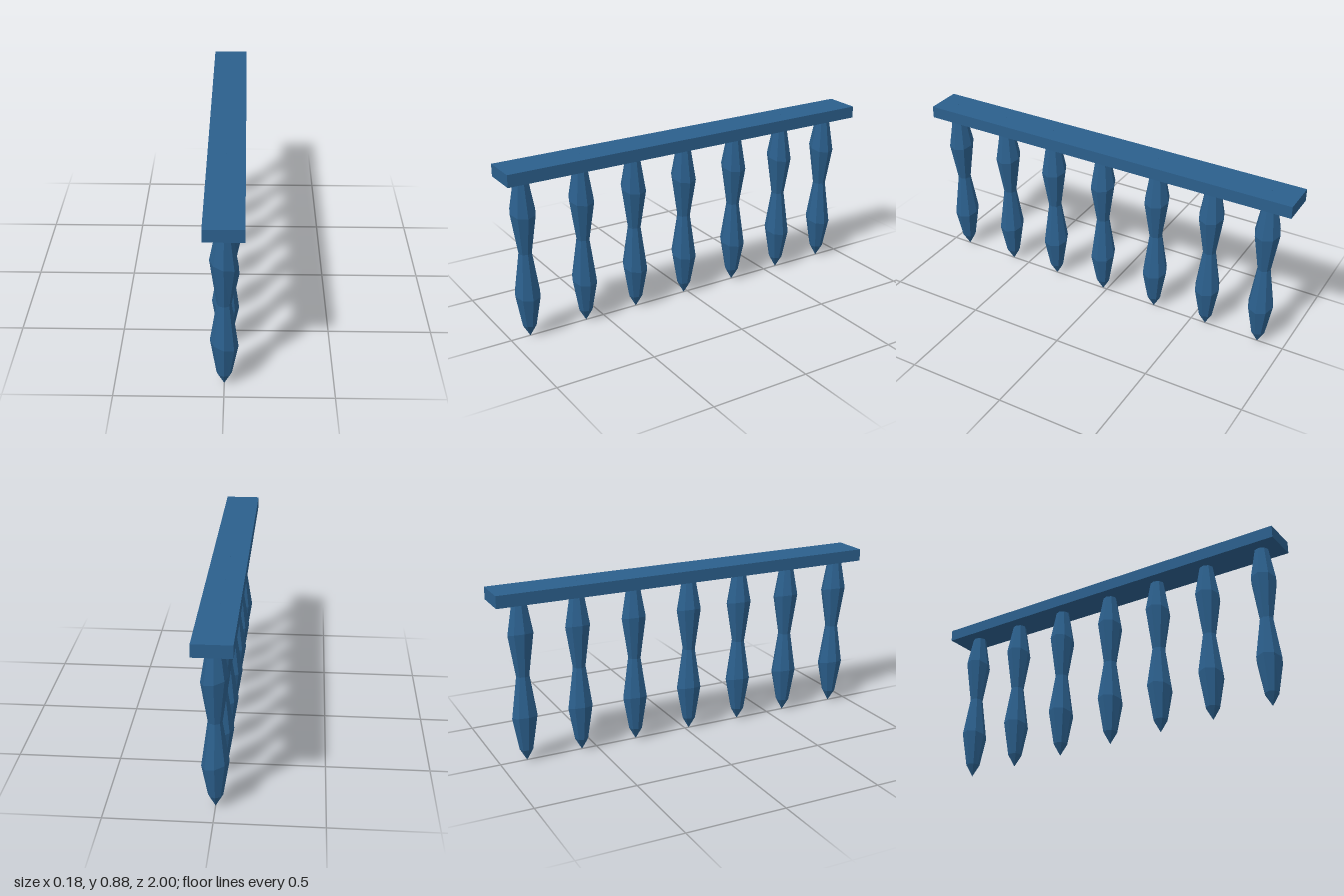
import * as THREE from 'three';

const material = new THREE.MeshStandardMaterial({ color: 0x2b5f8c, flatShading: true });

// Faceted double-bulb baluster, pointed at both ends
function balusterGeometry() {
  const profile = [
    [0, 0.003], [0.035, 0.065], [0.064, 0.23], [0.033, 0.443],
    [0.064, 0.65], [0.034, 0.82], [0, 0.879],
  ].map(([r, y]) => new THREE.Vector2(r, y));
  const geometry = new THREE.LatheGeometry(profile, 8);
  const p = geometry.attributes.position;
  for (let i = 0; i < p.count; i++) {
    const x = p.getX(i), y = p.getY(i), z = p.getZ(i);
    // Slightly tilted, hand-cut bulge rings
    if (Math.hypot(x, z) > 0.05) p.setY(i, y - 0.27 * x);
  }
  geometry.computeVertexNormals();
  return geometry;
}

export function createModel() {
  const model = new THREE.Group();
  model.name = 'balustrade';

  // Handrail
  const rail = new THREE.Mesh(new THREE.BoxGeometry(0.18, 0.061, 2), material);
  rail.name = 'handrail';
  rail.position.y = 0.8455;
  model.add(rail);

  // Row of balusters, slightly unevenly spaced
  const geometry = balusterGeometry();
  [0.9, 0.597, 0.312, 0.022, -0.283, -0.578, -0.865].forEach((z, i) => {
    const baluster = new THREE.Mesh(geometry, material);
    baluster.name = `baluster${i + 1}`;
    baluster.position.z = z;
    model.add(baluster);
  });
  return model;
}
